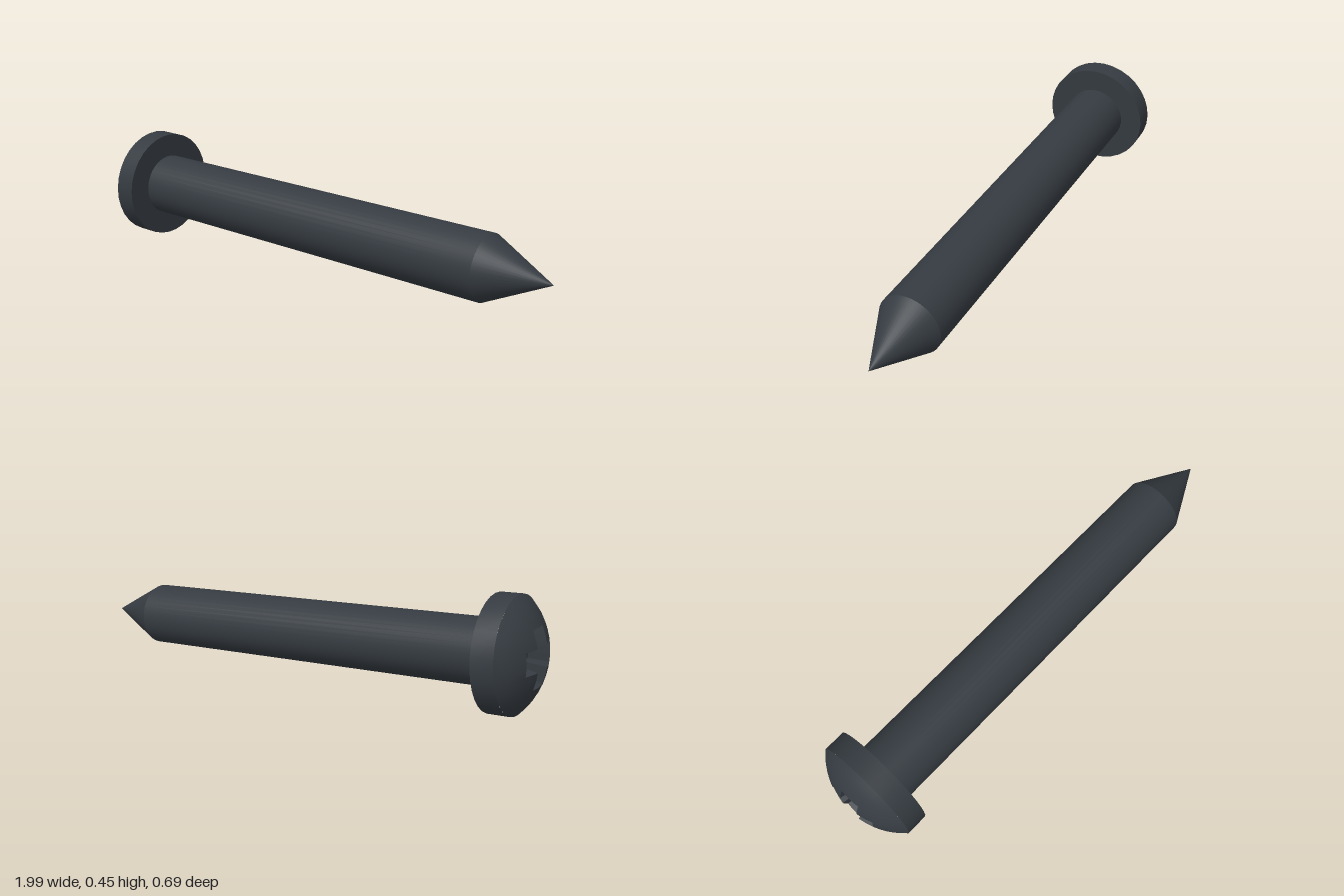
import * as THREE from 'three';
import { toCreasedNormals } from 'three/addons/utils/BufferGeometryUtils.js';

const steel = new THREE.MeshStandardMaterial({ color: 0x353b41 });
steel.name = 'dark steel';

// Sizes along the screw axis (local +y points to the tip, 0 is under the head)
const HEAD_R = 0.222, SHAFT_R = 0.127, RIM = 0.087, DOME_H = 0.095;
const CONE_START = 1.6, TIP = 1.855;
const ARM_L = 0.11, ARM_W = 0.043, RECESS_DEPTH = 0.09;

function addPart(group, name, geometry, crease) {
  const mesh = new THREE.Mesh(toCreasedNormals(geometry, crease), steel);
  mesh.name = name;
  group.add(mesh);
}

function lathe(points, segments) {
  return new THREE.LatheGeometry(points.map(([r, y]) => new THREE.Vector2(r, y)), segments);
}

// Joins closed rings of equal point count with quads
function loft(rings) {
  const n = rings[0].length;
  const index = [];
  for (let i = 0; i < rings.length - 1; i++) {
    for (let j = 0; j < n; j++) {
      const a = i * n + j, b = i * n + (j + 1) % n;
      index.push(a, a + n, b, b, a + n, b + n);
    }
  }
  const geometry = new THREE.BufferGeometry();
  geometry.setAttribute('position', new THREE.Float32BufferAttribute(rings.flat(2), 3));
  geometry.setIndex(index);
  return geometry;
}

// Outline of the cross recess, one quarter turned four times
function crossOutline() {
  const L = ARM_L, w = ARM_W, m = 0.07;
  const quarter = [[L, -w], [L, -w / 2], [L, 0], [L, w / 2], [L, w], [m, w], [w, w], [w, m]];
  const outline = [];
  for (let q = 0; q < 4; q++) {
    const c = Math.round(Math.cos(q * Math.PI / 2)), s = Math.round(Math.sin(q * Math.PI / 2));
    for (const [x, z] of quarter) outline.push([x * c - z * s, x * s + z * c]);
  }
  return outline;
}

export function createModel() {
  const model = new THREE.Group();
  model.name = 'screw';

  // Shaft and pointed tip
  addPart(model, 'shaft', lathe([[SHAFT_R, 0], [SHAFT_R, CONE_START]], 40), 0.6);
  addPart(model, 'tip', lathe([[SHAFT_R, CONE_START], [0, TIP]], 40), 0.6);

  // Head rim with its flat underside
  addPart(model, 'headRim', lathe([[HEAD_R, -RIM], [HEAD_R, 0], [SHAFT_R * 0.9, 0]], 32), 0.6);

  // Domed head cap, from the cross outline out to the rim
  const R = (HEAD_R ** 2 + DOME_H ** 2) / (2 * DOME_H);
  const domeY = (r) => R - RIM - DOME_H - Math.sqrt(R * R - r * r);
  const outline = crossOutline();
  const domeRing = (t) => outline.map(([x, z]) => {
    const inner = Math.hypot(x, z);
    const r = THREE.MathUtils.lerp(inner, HEAD_R, t);
    return [x / inner * r, domeY(r), z / inner * r];
  });
  addPart(model, 'headDome', loft([0, 0.2, 0.4, 0.6, 0.8, 1].map(domeRing)), 0.6);

  // Tapered cross recess sunk into the dome
  const floorY = -RIM - DOME_H + RECESS_DEPTH;
  const recess = loft([
    outline.map(() => [0, floorY + 0.01, 0]),
    outline.map(([x, z]) => [x * 0.65, floorY, z * 0.65]),
    domeRing(0),
  ]);
  addPart(model, 'crossRecess', recess, 0.4);

  // Lay the screw down along its slanted axis
  const axis = new THREE.Vector3(0.976, -0.0615, 0.208).normalize();
  const up = new THREE.Vector3(0, 1, 0).addScaledVector(axis, -axis.y).normalize();
  const side = new THREE.Vector3().crossVectors(up, axis);
  model.quaternion.setFromRotationMatrix(new THREE.Matrix4().makeBasis(up, axis, side));
  model.position.set(-0.815, 0.228, -0.116);

  const root = new THREE.Group();
  root.name = 'screwModel';
  root.add(model);
  return root;
}
